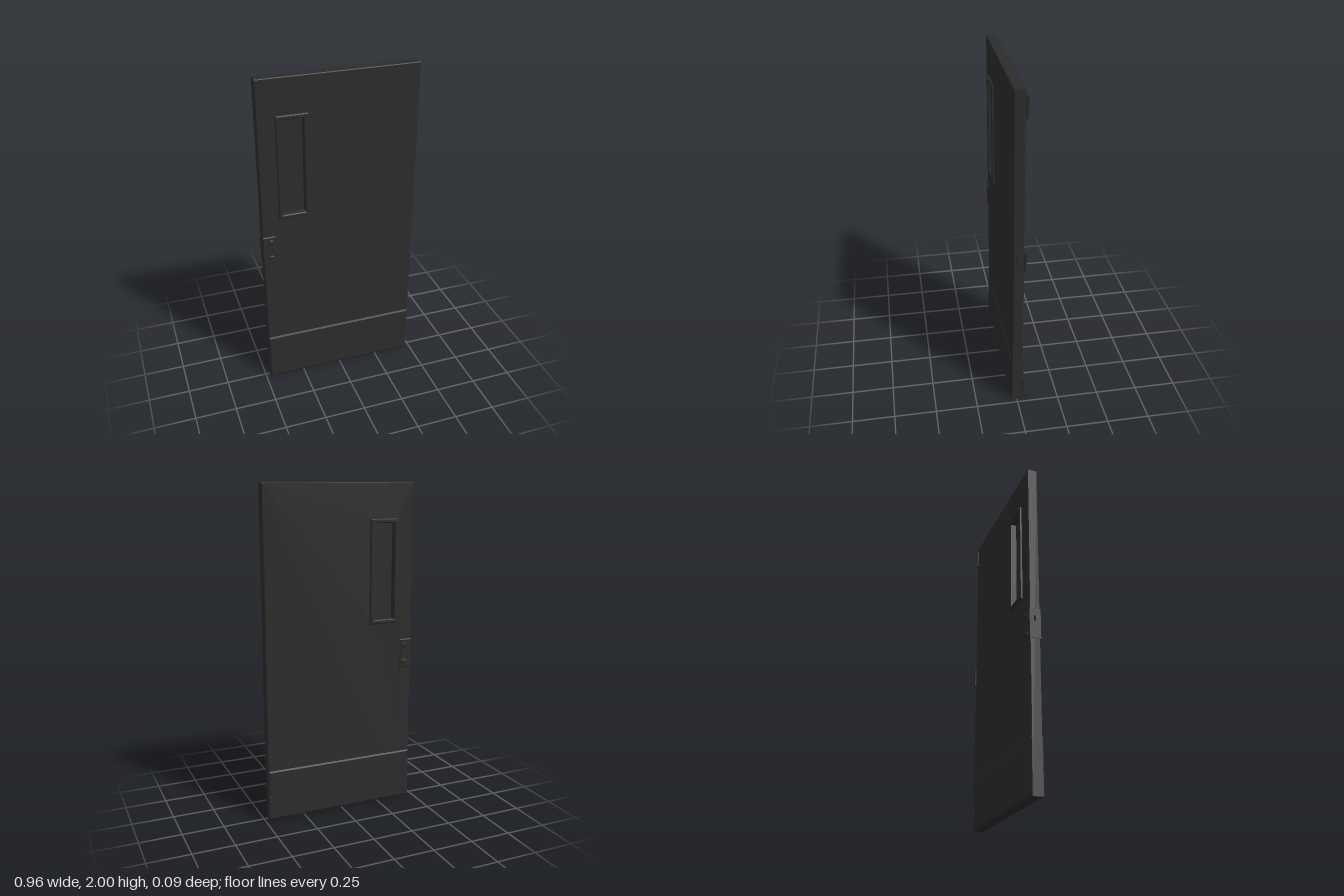
import * as THREE from 'three';

const metal = new THREE.MeshStandardMaterial({ color: 0x2c2c2c });
metal.name = 'dark painted metal';

function rect(Type, x0, x1, y0, y1) {
  const s = new Type();
  s.moveTo(x0, y0);
  s.lineTo(x1, y0);
  s.lineTo(x1, y1);
  s.lineTo(x0, y1);
  s.closePath();
  return s;
}

// Chamfered panel between z0 and z1, with an optional rectangular opening
function panel(name, [x0, x1, y0, y1], z0, z1, size, thickness, hole) {
  const shape = rect(THREE.Shape, x0, x1, y0, y1);
  if (hole) shape.holes.push(rect(THREE.Path, ...hole));
  const geo = new THREE.ExtrudeGeometry(shape, {
    depth: z1 - z0 - 2 * thickness, bevelEnabled: true, bevelSegments: 1,
    bevelSize: size, bevelOffset: -size, bevelThickness: thickness,
  });
  geo.translate(0, 0, z0 + thickness);
  const mesh = new THREE.Mesh(geo, metal);
  mesh.name = name;
  return mesh;
}

export function createModel() {
  const door = new THREE.Group();
  door.name = 'door';

  // Slab with window opening
  const opening = [-0.35, -0.205, 1.18, 1.77];
  door.add(panel('slab', [-0.472, 0.475, 0, 2], -0.033, 0.03, 0.004, 0.004, opening));

  // Window: frame through the slab and a pane set deep inside it
  door.add(panel('windowFrame', [-0.37, -0.186, 1.16, 1.79], -0.048, 0.045, 0.005, 0.005,
    [-0.345, -0.211, 1.185, 1.765]));
  const pane = new THREE.Mesh(new THREE.BoxGeometry(0.14, 0.585, 0.012), metal);
  pane.position.set(-0.278, 1.475, -0.0015);
  pane.name = 'windowPane';
  door.add(pane);

  // Kick plates on both faces
  const kick = [-0.472, 0.475, 0.004, 0.315];
  door.add(panel('frontKickPlate', kick, 0.018, 0.037, 0.01, 0.007));
  door.add(panel('backKickPlate', kick, -0.039, -0.02, 0.01, 0.007));

  // Lock: plate wrapping the edge, cylinders on both faces, latch
  const lock = new THREE.Group();
  lock.name = 'lock';
  lock.add(panel('lockPlate', [-0.475, -0.396, 0.866, 1.05], -0.038, 0.036, 0.005, 0.004));
  for (const y of [0.905, 1.01]) {
    const knob = new THREE.Mesh(new THREE.CylinderGeometry(0.022, 0.022, 0.076, 24), metal);
    knob.rotation.x = Math.PI / 2;
    knob.position.set(-0.425, y, -0.001);
    knob.name = 'lockCylinder';
    lock.add(knob);
    for (const side of [-1, 1]) {
      const cap = new THREE.Mesh(new THREE.CylinderGeometry(0.013, 0.019, 0.007, 24), metal);
      cap.rotation.x = side * Math.PI / 2;
      cap.position.set(-0.425, y, -0.001 + side * 0.041);
      cap.name = 'lockCap';
      lock.add(cap);
    }
  }
  // Wedge-shaped latch
  const wedge = new THREE.Shape([[-0.47, -0.01], [-0.47, 0.008], [-0.483, -0.007]]
    .map(([x, z]) => new THREE.Vector2(x, -z)));
  const latchGeo = new THREE.ExtrudeGeometry(wedge, { depth: 0.03, bevelEnabled: false });
  latchGeo.rotateX(-Math.PI / 2);
  const latch = new THREE.Mesh(latchGeo, metal);
  latch.position.y = 0.972;
  latch.name = 'latch';
  lock.add(latch);
  door.add(lock);

  // Three hinges at the back left edge
  for (const y of [0.1, 1, 1.91]) {
    const hinge = new THREE.Group();
    hinge.name = 'hinge';
    const pin = new THREE.Mesh(new THREE.CylinderGeometry(0.009, 0.009, 0.12, 16), metal);
    pin.position.set(0.472, y, -0.038);
    pin.name = 'hingePin';
    const leaf = new THREE.Mesh(new THREE.BoxGeometry(0.004, 0.116, 0.05), metal);
    leaf.position.set(0.475, y, -0.012);
    leaf.name = 'hingeLeaf';
    hinge.add(pin, leaf);
    door.add(hinge);
  }
  return door;
}
